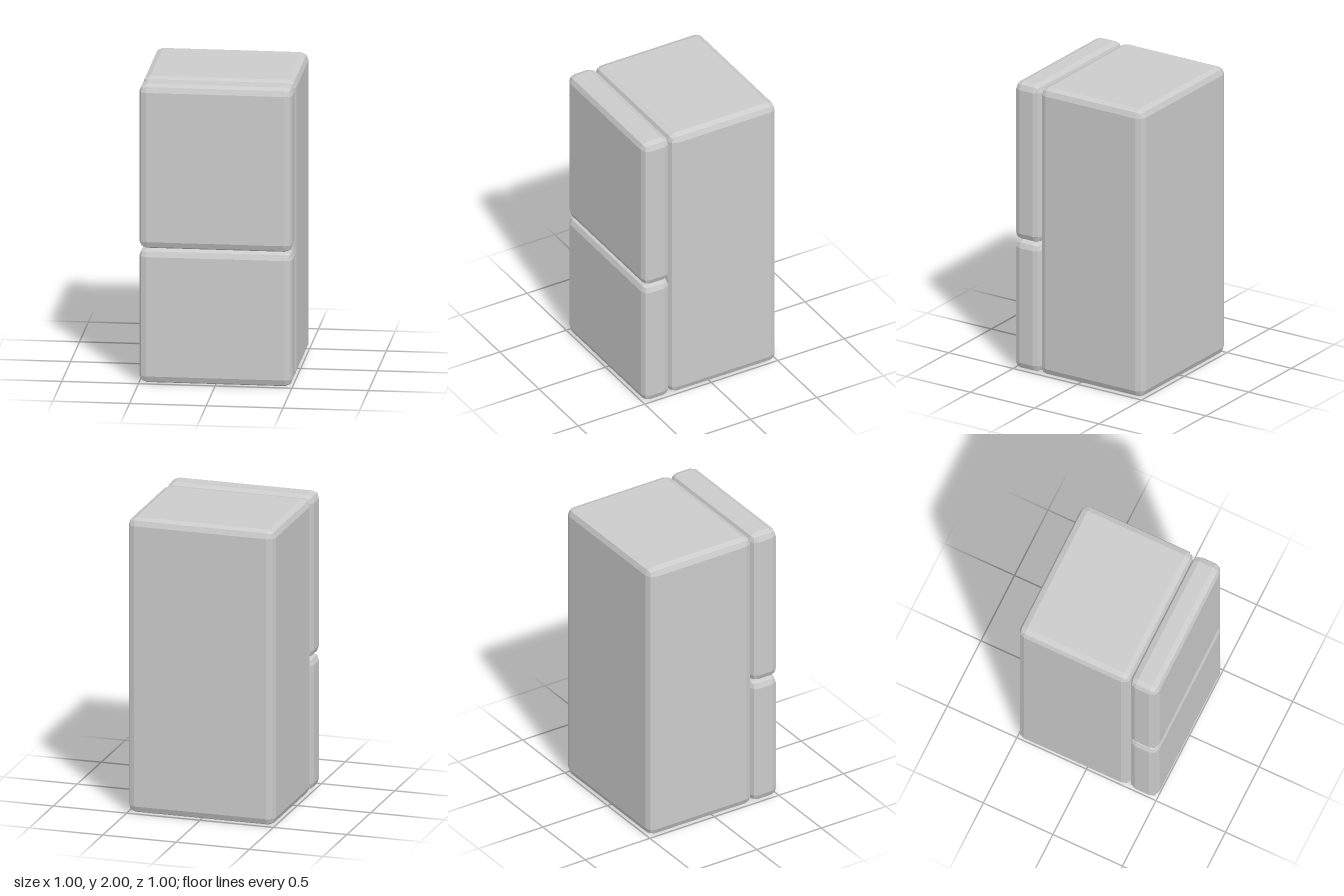
import * as THREE from 'three';
import { RoundedBoxGeometry } from 'three/addons/geometries/RoundedBoxGeometry.js';

const BEVEL = 0.05;
const WIDTH = 1;

export function createModel() {
  const group = new THREE.Group();
  group.name = 'fridge';
  const material = new THREE.MeshStandardMaterial({ color: 0xcccccc, flatShading: true });

  // Bevelled block spanning the full width, given its y and z ranges
  function addBlock(name, y0, y1, z0, z1) {
    const geometry = new RoundedBoxGeometry(WIDTH, y1 - y0, z1 - z0, 1, BEVEL);
    geometry.computeVertexNormals(); // faceted bevels
    const mesh = new THREE.Mesh(geometry, material);
    mesh.name = name;
    mesh.position.set(0, (y0 + y1) / 2, (z0 + z1) / 2);
    group.add(mesh);
  }

  // Cabinet behind, two doors stacked in front
  addBlock('cabinet', 0, 2, -0.5, 0.3);
  addBlock('lowerDoor', 0, 0.9, 0.3, 0.5);
  addBlock('upperDoor', 0.9, 2, 0.3, 0.5);

  return group;
}
